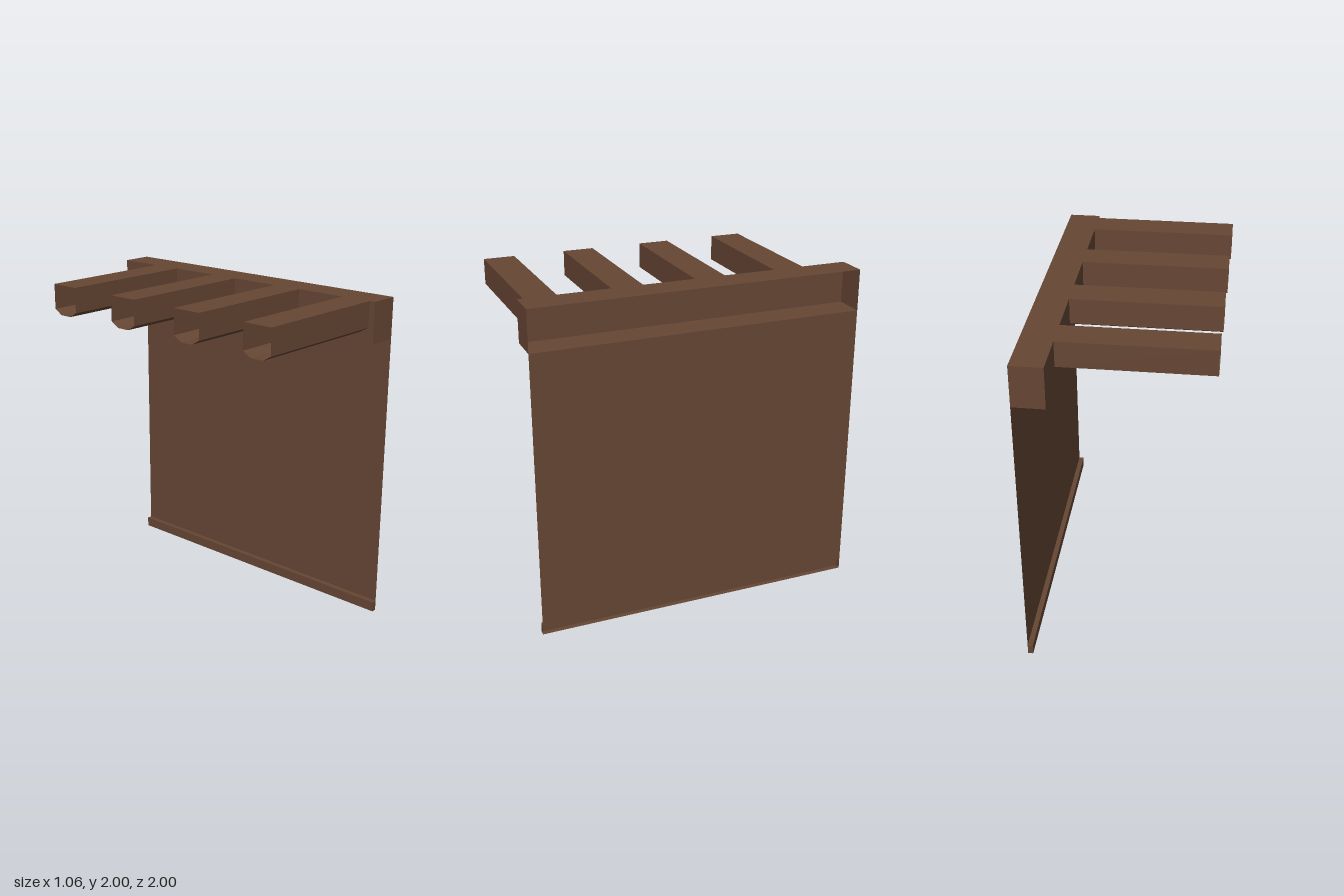
import * as THREE from 'three';

const wood = new THREE.MeshStandardMaterial({ color: 0x664634, side: THREE.DoubleSide });
wood.name = 'brown wood';

function addMesh(parent, name, geometry) {
  const mesh = new THREE.Mesh(geometry, wood);
  mesh.name = name;
  parent.add(mesh);
  return mesh;
}

// Box shell without its +x side
function openBox(x0, x1, y0, y1, length) {
  const g = new THREE.BoxGeometry(x1 - x0, y1 - y0, length);
  g.setIndex(Array.from(g.index.array).slice(6));
  g.clearGroups();
  g.translate((x0 + x1) / 2, (y0 + y1) / 2, 0);
  return g;
}

// Hollow tube along x with open ends; profile points are [z, y], walked so faces point outward
function openTube(profile, x0, x1) {
  const pos = [];
  profile.forEach(([za, ya], i) => {
    const [zb, yb] = profile[(i + 1) % profile.length];
    pos.push(x0, ya, za, x1, yb, zb, x0, yb, zb);
    pos.push(x0, ya, za, x1, ya, za, x1, yb, zb);
  });
  const g = new THREE.BufferGeometry();
  g.setAttribute('position', new THREE.Float32BufferAttribute(pos, 3));
  g.computeVertexNormals();
  return g;
}

export function createModel() {
  const model = new THREE.Group();
  model.name = 'hanging screen canopy';

  const outer = 0.53;
  const beamBottom = 1.753;
  const railTop = 0.062;

  // Channels holding the screen at top and bottom
  addMesh(model, 'headBeam', openBox(0.343, outer, beamBottom, 2, 2));
  addMesh(model, 'bottomRail', openBox(0.499, outer, 0, railTop, 2));

  // Thin screen hanging between them
  const screen = addMesh(model, 'screen', new THREE.PlaneGeometry(2, beamBottom - railTop));
  screen.rotation.y = Math.PI / 2;
  screen.position.set(outer, (beamBottom + railTop) / 2, 0);

  // Four hollow rafters with bevelled undersides
  const w = 0.0935, b = 0.04;
  const profile = [[w, 2], [-w, 2], [-w, 1.847], [-b, 1.816], [b, 1.816], [w, 1.847]];
  const rafters = new THREE.Group();
  rafters.name = 'rafters';
  const rafterGeometry = openTube(profile, -outer, 0.343);
  for (let i = 0; i < 4; i++) {
    addMesh(rafters, 'rafter', rafterGeometry).position.z = -0.628 + i * 0.5;
  }
  model.add(rafters);
  return model;
}
